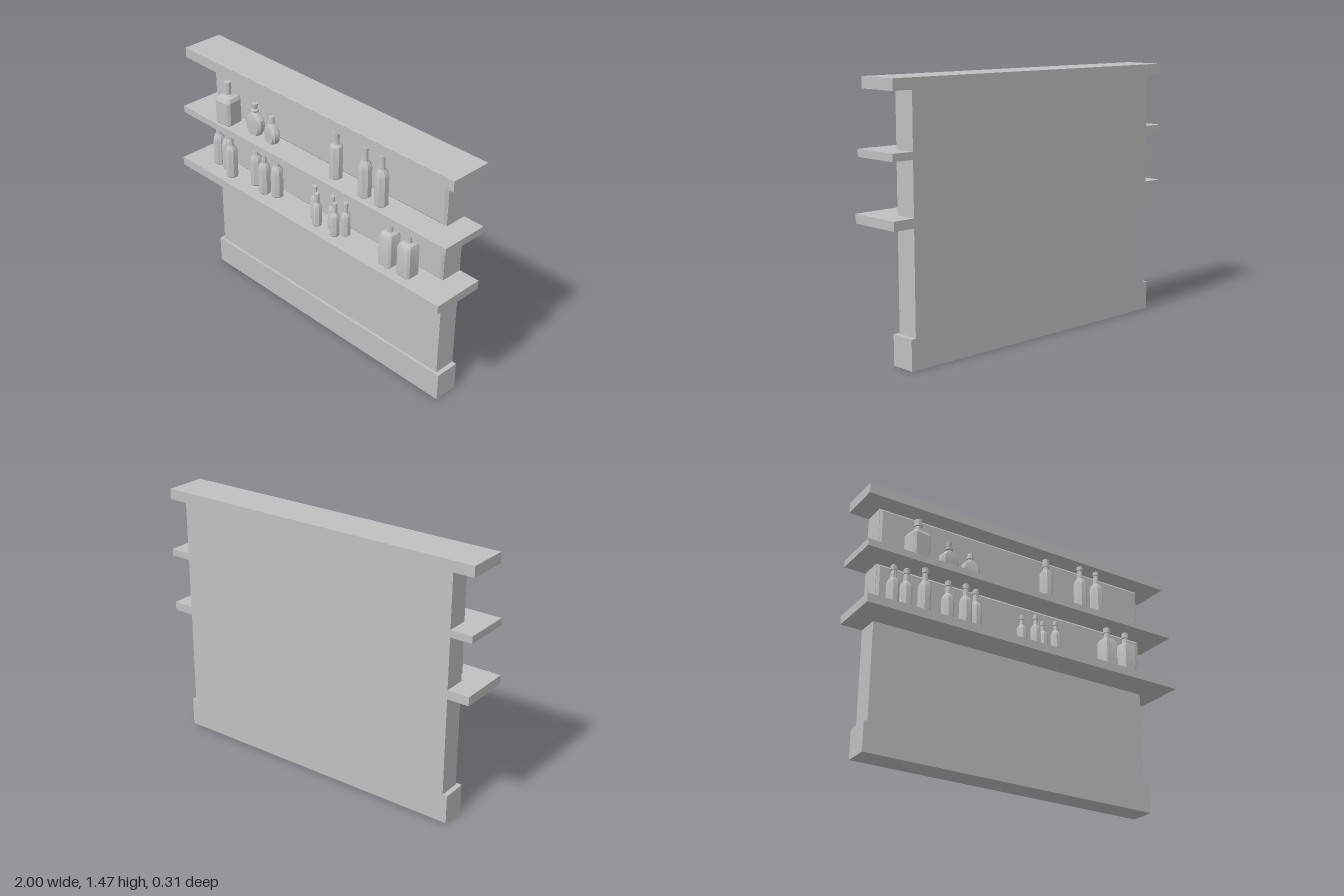
import * as THREE from 'three';
import { toCreasedNormals } from 'three/addons/utils/BufferGeometryUtils.js';

const clay = new THREE.MeshStandardMaterial({ color: 0xc0c0c0 });
clay.name = 'plain grey';

const BACK = -0.155;

// Box given by its extents, always flush with the back plane
function slab(name, halfWidth, y0, y1, front) {
  const geo = new THREE.BoxGeometry(halfWidth * 2, y1 - y0, front - BACK);
  const mesh = new THREE.Mesh(geo, clay);
  mesh.position.set(0, (y0 + y1) / 2, (front + BACK) / 2);
  mesh.name = name;
  return mesh;
}

// Thin panel whose front face is inset to give a bevelled rim
function bevelPanel(name, halfWidth, y0, y1, z0, z1, inset) {
  const h = y1 - y0;
  const geo = new THREE.BoxGeometry(halfWidth * 2, h, z1 - z0).toNonIndexed();
  const p = geo.attributes.position;
  for (let i = 0; i < p.count; i++) {
    if (p.getZ(i) > 0) {
      p.setX(i, p.getX(i) - Math.sign(p.getX(i)) * inset);
      p.setY(i, p.getY(i) - Math.sign(p.getY(i)) * inset);
    }
  }
  geo.computeVertexNormals();
  const mesh = new THREE.Mesh(geo, clay);
  mesh.position.set(0, (y0 + y1) / 2, (z0 + z1) / 2);
  mesh.name = name;
  return mesh;
}

// Faceted bottle: profile is [half width, height]; square pushes the body's
// corners outwards, depth flattens the body front and back
function bottleGeometry(profile, { sides = 8, square = false, depth = 1 } = {}) {
  const k = 1 / Math.cos(Math.PI / sides);
  const pts = profile.map(([r, y]) => new THREE.Vector2(r * k, y));
  const geo = new THREE.LatheGeometry(pts, sides, Math.PI / sides);
  const p = geo.attributes.position;
  for (let i = 0; i < p.count; i++) {
    let x = p.getX(i), z = p.getZ(i);
    const ax = Math.abs(x), az = Math.abs(z);
    if (square && Math.max(ax, az) > 0.03) {
      if (ax > az) z = Math.sign(z) * ax * 0.75;
      else x = Math.sign(x) * az * 0.75;
    }
    z = Math.sign(z) * Math.min(Math.abs(z), depth / 2);
    p.setXYZ(i, x, p.getY(i), z);
  }
  return toCreasedNormals(geo, 0.5);
}

const kinds = {
  beerBottle: bottleGeometry([
    [0, 0], [0.029, 0], [0.033, 0.006], [0.033, 0.155], [0.028, 0.178], [0.016, 0.195],
    [0.013, 0.24], [0.017, 0.242], [0.017, 0.268], [0.014, 0.272], [0, 0.272]]),
  smallBottle: bottleGeometry([
    [0, 0], [0.023, 0], [0.026, 0.005], [0.026, 0.112], [0.021, 0.128], [0.012, 0.14],
    [0.01, 0.172], [0.013, 0.174], [0.013, 0.197], [0.011, 0.2], [0, 0.2]]),
  squareBottle: bottleGeometry([
    [0, 0], [0.04, 0], [0.045, 0.006], [0.045, 0.168], [0.036, 0.19], [0.018, 0.2],
    [0.015, 0.232], [0.02, 0.234], [0.018, 0.267], [0, 0.267]], { square: true }),
  decanter: bottleGeometry([
    [0, 0], [0.05, 0], [0.056, 0.006], [0.056, 0.142], [0.045, 0.162], [0.02, 0.175],
    [0.017, 0.205], [0.022, 0.207], [0.019, 0.248], [0, 0.248]], { square: true }),
  tallBottle: bottleGeometry([
    [0, 0], [0.032, 0], [0.035, 0.005], [0.035, 0.172], [0.031, 0.188], [0.017, 0.2],
    [0.014, 0.222], [0.018, 0.224], [0.018, 0.272], [0, 0.274]]),
  slimBottle: bottleGeometry([
    [0, 0], [0.033, 0], [0.036, 0.005], [0.036, 0.162], [0.03, 0.188], [0.017, 0.208],
    [0.013, 0.262], [0.017, 0.264], [0.017, 0.284], [0.014, 0.288], [0, 0.288]]),
  largeFlask: bottleGeometry([
    [0, 0], [0.036, 0], [0.052, 0.03], [0.059, 0.062], [0.051, 0.095], [0.022, 0.125],
    [0.013, 0.132], [0.021, 0.138], [0.021, 0.148], [0.012, 0.154], [0.014, 0.16],
    [0.017, 0.185], [0, 0.188]], { sides: 12, depth: 0.055 }),
  smallFlask: bottleGeometry([
    [0, 0], [0.034, 0], [0.051, 0.025], [0.055, 0.055], [0.046, 0.082], [0.02, 0.11],
    [0.013, 0.118], [0.018, 0.122], [0.014, 0.157], [0, 0.159]], { sides: 12, depth: 0.05 }),
};

// Bottle layout: kind, x, z, turn
const upperRow = [
  ['decanter', -0.68, 0.055, 0.12], ['largeFlask', -0.474, 0.035, 0.1],
  ['smallFlask', -0.338, 0.035, -0.15], ['tallBottle', 0.166, 0.04, 0],
  ['slimBottle', 0.394, 0.06, 0], ['slimBottle', 0.511, 0.06, 0],
];
const lowerRow = [
  ['beerBottle', -0.803, 0.035, 0], ['beerBottle', -0.726, 0.035, 0],
  ['beerBottle', -0.64, 0.081, 0, 1.035], ['beerBottle', -0.474, 0.038, 0],
  ['beerBottle', -0.378, 0.063, 0], ['beerBottle', -0.3, 0.038, 0],
  ['smallBottle', 0.003, 0.035, 0], ['smallBottle', 0.064, 0.08, 0],
  ['smallBottle', 0.142, 0.038, 0], ['smallBottle', 0.2, 0.08, 0],
  ['smallBottle', 0.238, 0.035, 0],
  ['squareBottle', 0.578, 0.06, 0], ['squareBottle', 0.71, 0.063, 0],
];

function bottleRow(name, shelfTop, row) {
  const group = new THREE.Group();
  group.name = name;
  for (const [kind, x, z, turn, stretch = 1] of row) {
    const mesh = new THREE.Mesh(kinds[kind], clay);
    mesh.name = kind;
    mesh.position.set(x, shelfTop, z);
    mesh.rotation.y = turn;
    mesh.scale.y = stretch;
    group.add(mesh);
  }
  return group;
}

export function createModel() {
  const model = new THREE.Group();
  model.name = 'bottleShelf';
  model.add(
    // Cabinet back and plinth
    slab('plinth', 0.902, 0, 0.165, -0.01),
    slab('backWall', 0.875, 0.165, 1.405, -0.025),
    // Shelves and top board
    slab('lowerShelf', 1, 0.725, 0.775, 0.155),
    slab('upperShelf', 1, 1.065, 1.105, 0.125),
    slab('topBoard', 0.993, 1.405, 1.465, 0.09),
    // Bevelled panels behind the bottles
    bevelPanel('lowerBackPanel', 0.874, 0.776, 1.064, -0.026, -0.012, 0.014),
    bevelPanel('upperBackPanel', 0.874, 1.106, 1.404, -0.026, -0.012, 0.014),
    bottleRow('upperBottles', 1.105, upperRow),
    bottleRow('lowerBottles', 0.775, lowerRow),
  );
  return model;
}
